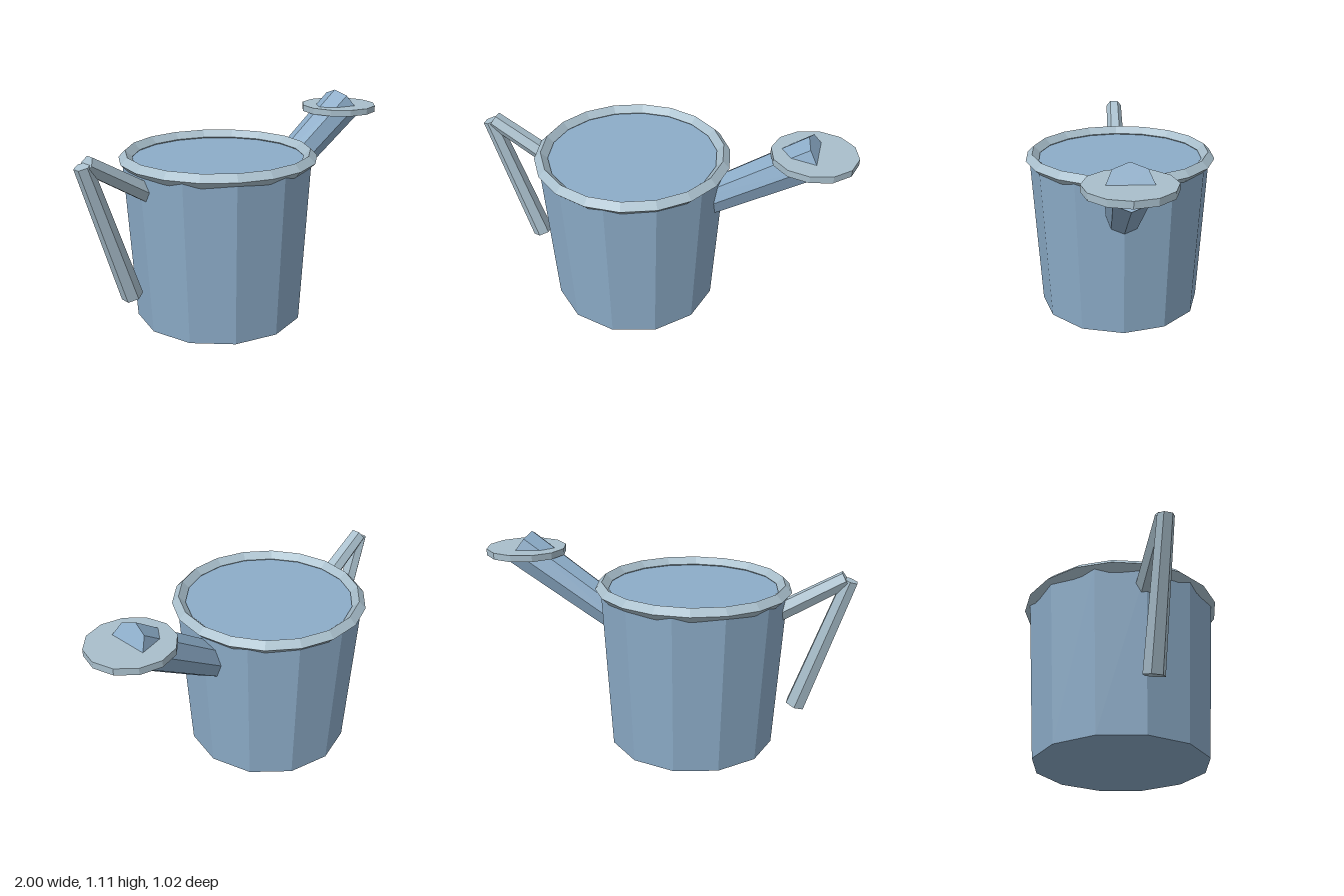
import * as THREE from 'three';

const blue = new THREE.MeshStandardMaterial({ color: 0x8cacc8, flatShading: true });
const pale = new THREE.MeshStandardMaterial({ color: 0xa9bfcc, flatShading: true });
const CENTRE_X = -0.155;

export function createModel() {
  const group = new THREE.Group();
  group.name = 'wateringCan';

  const add = (name, geometry, material, x, y) => {
    const mesh = new THREE.Mesh(geometry, material);
    mesh.name = name;
    mesh.position.set(x, y, 0);
    group.add(mesh);
    return mesh;
  };

  // Tapered bar in the xy plane running from a (radius ra) to b (radius rb)
  const bar = (name, a, b, ra, rb, sides, material) => {
    const from = new THREE.Vector3(...a, 0);
    const to = new THREE.Vector3(...b, 0);
    const dir = to.clone().sub(from);
    const mid = from.clone().add(to).multiplyScalar(0.5);
    const mesh = add(name, new THREE.CylinderGeometry(rb, ra, dir.length(), sides), material, mid.x, mid.y);
    mesh.quaternion.setFromUnitVectors(new THREE.Vector3(0, 1, 0), dir.normalize());
    return mesh;
  };

  // Closed tapered body, its top forming the water surface
  add('body', new THREE.CylinderGeometry(0.498, 0.45, 0.858, 12), blue, CENTRE_X, 0.429);

  // Diamond-section rim
  const rim = new THREE.TorusGeometry(0.484, 0.036, 4, 18);
  rim.rotateX(-Math.PI / 2);
  add('rim', rim, pale, CENTRE_X, 0.865);

  // Spout with its tip passing through the sprinkler disc
  bar('spout', [0.178, 0.61], [0.807, 1.019], 0.091, 0.112, 8, blue);
  add('sprinklerDisc', new THREE.CylinderGeometry(0.217, 0.217, 0.035, 12), pale, 0.783, 1.008);

  // Two-bar handle
  bar('handleUpper', [-0.94, 0.957], [-0.55, 0.72], 0.046, 0.053, 6, pale);
  bar('handleLower', [-0.96, 0.952], [-0.725, 0.24], 0.043, 0.055, 6, pale);

  return group;
}
